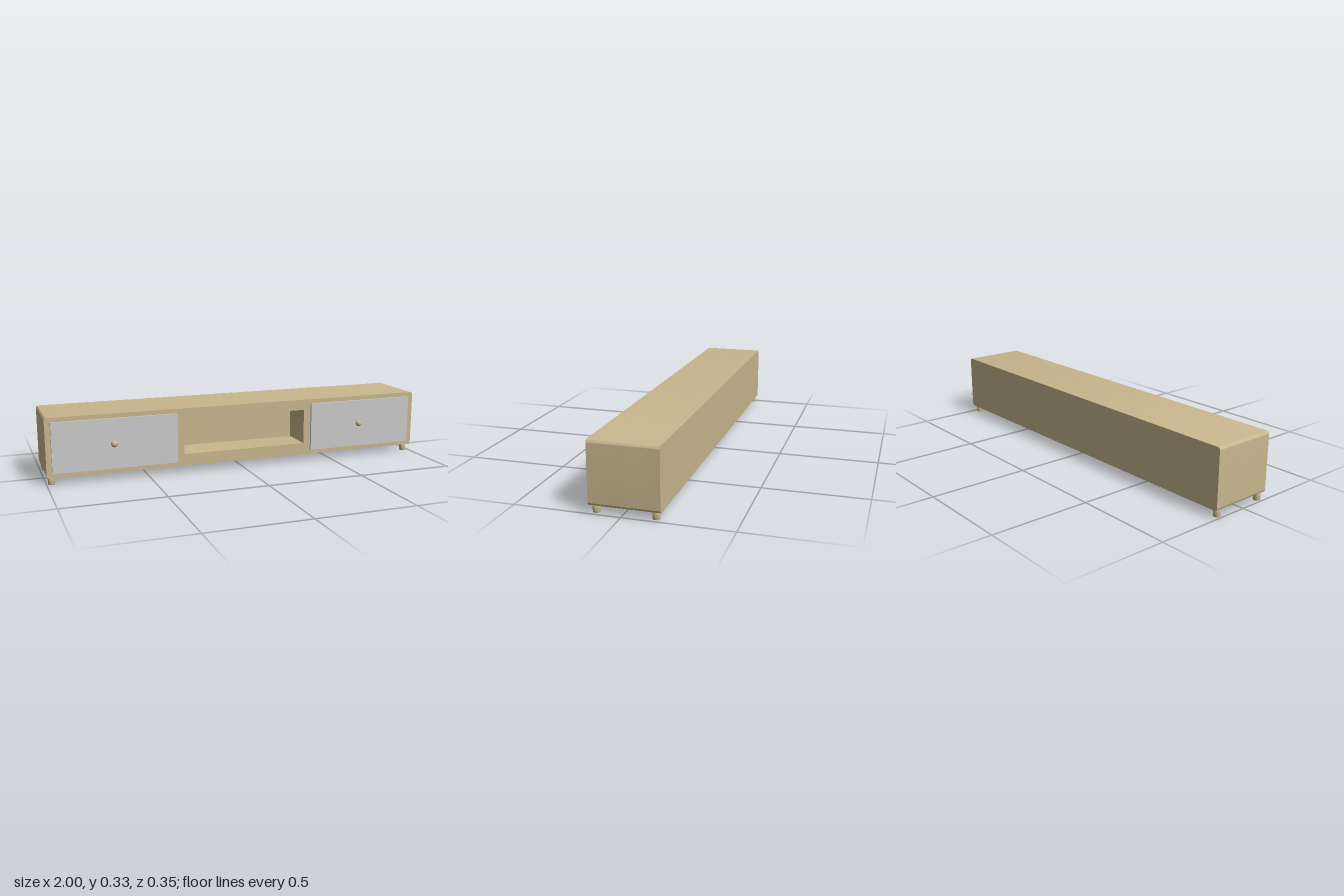
import * as THREE from 'three';
import { toCreasedNormals } from 'three/addons/utils/BufferGeometryUtils.js';

const wood = new THREE.MeshStandardMaterial({ color: 0xc9b78e });
const grey = new THREE.MeshStandardMaterial({ color: 0xcccccc });

// Traces a rectangle with rounded corners onto a Shape or Path.
function roundedRect(path, x0, y0, x1, y1, r) {
  path.absarc(x1 - r, y0 + r, r, -Math.PI / 2, 0);
  path.absarc(x1 - r, y1 - r, r, 0, Math.PI / 2);
  path.absarc(x0 + r, y1 - r, r, Math.PI / 2, Math.PI);
  path.absarc(x0 + r, y0 + r, r, Math.PI, Math.PI * 1.5);
  path.closePath();
  return path;
}

export function createModel() {
  const model = new THREE.Group();
  model.name = 'mediaConsole';

  const add = (parent, name, geometry, material, x, y, z) => {
    const mesh = new THREE.Mesh(geometry, material);
    mesh.name = name;
    mesh.position.set(x, y, z);
    parent.add(mesh);
    return mesh;
  };

  // Cabinet: a front section pierced by the open niche, and a solid rear section
  const back = -0.177, front = 0.148, nicheBack = -0.027;
  const outline = () => roundedRect(new THREE.Shape(), -1, 0.037, 1, 0.332, 0.013);
  const extrude = (shape, depth) => toCreasedNormals(
    new THREE.ExtrudeGeometry(shape, { depth, bevelEnabled: false, curveSegments: 8 }), 0.6);

  const cabinet = new THREE.Group();
  cabinet.name = 'cabinet';
  model.add(cabinet);
  const face = outline();
  face.holes.push(roundedRect(new THREE.Path(), -0.316, 0.097, 0.342, 0.278, 0.003));
  add(cabinet, 'nicheSection', extrude(face, front - nicheBack), wood, 0, 0, nicheBack);
  add(cabinet, 'rearSection', extrude(outline(), nicheBack - back), wood, 0, 0, back);

  // Drawer fronts with round knobs
  const drawers = [
    { name: 'rightDrawer', x0: -0.973, x1: -0.353, knob: -0.672 },
    { name: 'leftDrawer', x0: 0.38, x1: 0.968, knob: 0.663 },
  ];
  const knobGeometry = new THREE.SphereGeometry(0.017, 24, 16);
  for (const { name, x0, x1, knob } of drawers) {
    const drawer = new THREE.Group();
    drawer.name = name;
    model.add(drawer);
    add(drawer, 'drawerFront', new THREE.BoxGeometry(x1 - x0, 0.25, 0.012), grey,
      (x0 + x1) / 2, 0.185, 0.154);
    add(drawer, 'knob', knobGeometry, wood, knob, 0.184, 0.16);
  }

  // Short round feet with softened rims
  const profile = [[0, 0], [0.014, 0], [0.0162, 0.001], [0.017, 0.003], [0.017, 0.034], [0.016, 0.038]];
  const footGeometry = toCreasedNormals(
    new THREE.LatheGeometry(profile.map(([r, y]) => new THREE.Vector2(r, y)), 24), 0.6);
  for (const x of [-0.976, 0.969]) {
    for (const z of [0.121, -0.149]) {
      add(model, `${z > 0 ? 'front' : 'back'}${x > 0 ? 'Left' : 'Right'}Foot`, footGeometry, wood, x, 0, z);
    }
  }
  return model;
}
